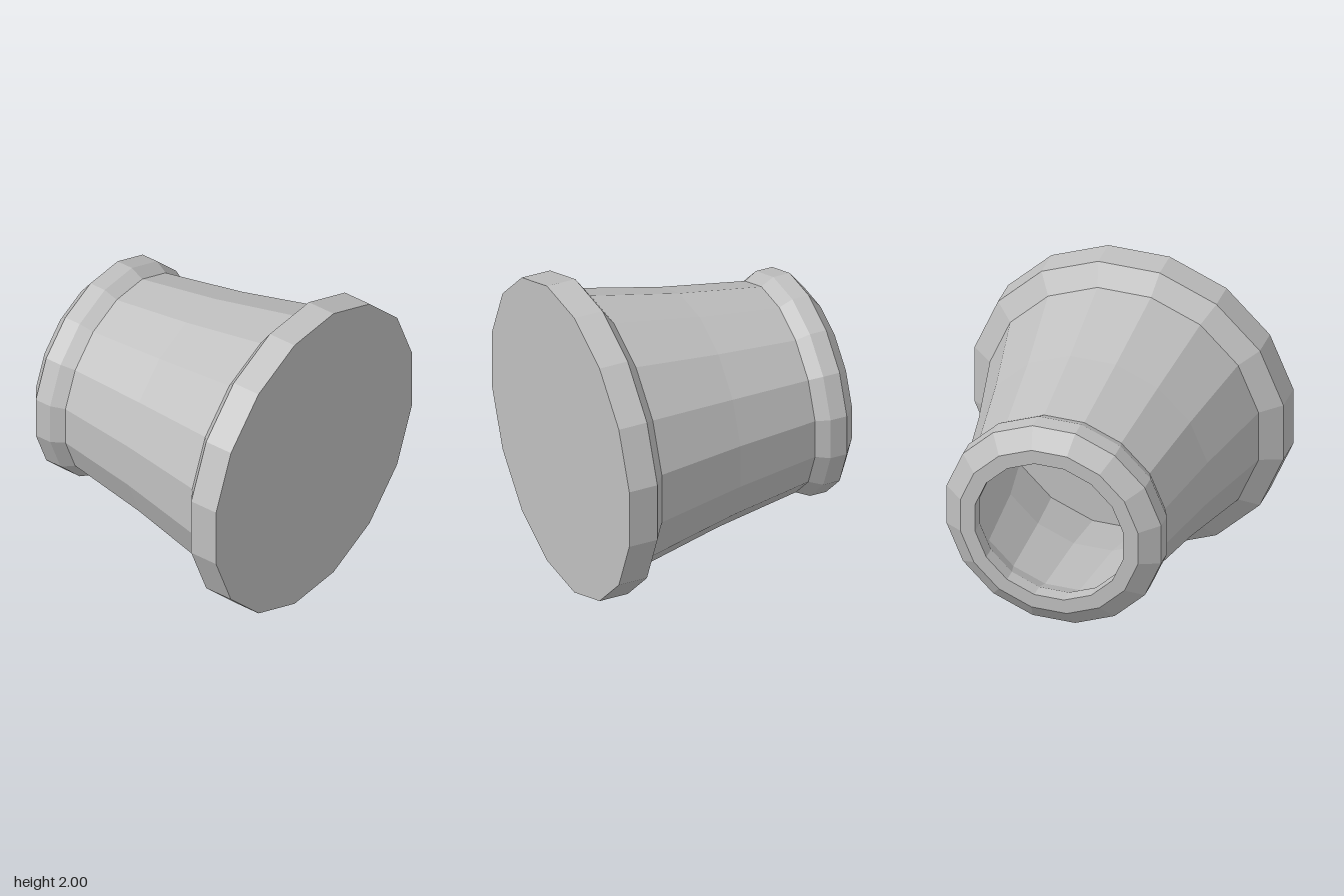
import * as THREE from 'three';

const SIDES = 16;
// Profiles give the distance from the axis to the flat of each facet.
const TO_CORNER = 1 / Math.cos(Math.PI / SIDES);

const grey = new THREE.MeshStandardMaterial({ color: 0xc0c0c0 });
grey.name = 'plain grey';

// Faceted ring or disc turned about the z axis from [radius, z] points
function turned(name, profile) {
  const points = profile.map(([r, z]) => new THREE.Vector2(r * TO_CORNER, z));
  const geometry = new THREE.LatheGeometry(points, SIDES, Math.PI / SIDES)
    .rotateX(Math.PI / 2)
    .toNonIndexed();
  geometry.computeVertexNormals(); // flat facets
  const mesh = new THREE.Mesh(geometry, grey);
  mesh.name = name;
  return mesh;
}

export function createModel() {
  const group = new THREE.Group();
  group.name = 'flaredSocket';
  group.add(
    // hollow inside, from its floor back to the lip
    turned('bore', [[0, 0.4], [0.73, 0.4], [0.63, -0.02], [0.56, -0.6], [0.48, -0.76], [0.48, -0.85]]),
    // collar around the opening at the back
    turned('collar', [[0.48, -0.85], [0.575, -0.85], [0.695, -0.76], [0.695, -0.65], [0.653, -0.565]]),
    // slightly curved, widening barrel
    turned('barrel', [[0.653, -0.565], [0.742, -0.02], [0.87, 0.57]]),
    // broad flange closed by the front plate
    turned('flange', [[0.87, 0.57], [1, 0.66], [1, 0.85]]),
    turned('frontPlate', [[1, 0.85], [0, 0.85]])
  );
  group.position.y = 1;
  const root = new THREE.Group();
  root.add(group);
  return root;
}
